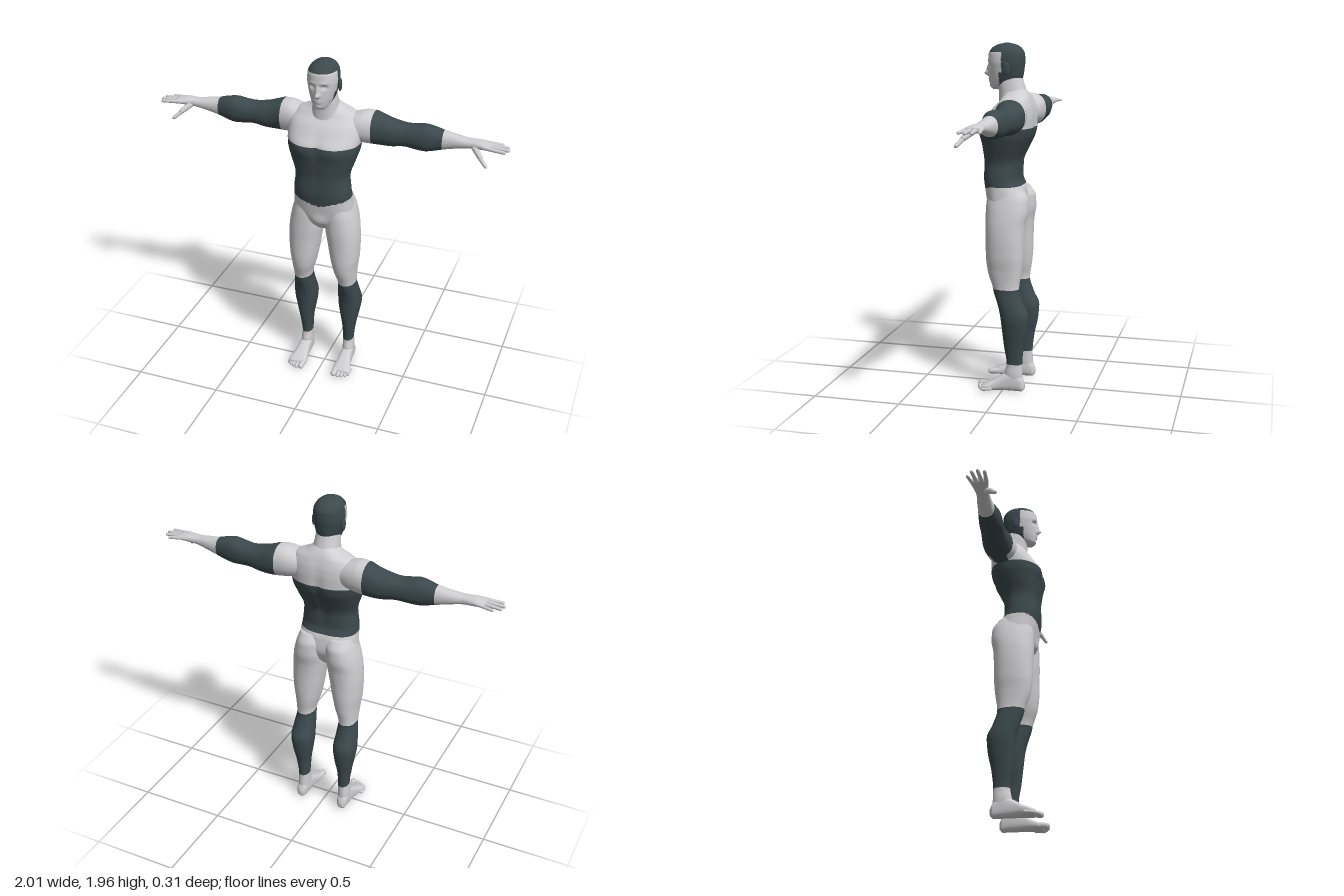
import * as THREE from 'three';

const skin = new THREE.MeshStandardMaterial({ color: 0xcfcfd1 });
skin.name = 'pale skin';
const suit = new THREE.MeshStandardMaterial({ color: 0x3c494d });
suit.name = 'dark slate';

const AXES = { x: [0, 1, 2], y: [1, 0, 2], z: [2, 0, 1] }; // along, across u, across v

// Smooth, non-overshooting interpolation between two cross-sections
function between(S, i, f) {
  const slope = (a, k) => (S[a + 1][k] - S[a][k]) / (S[a + 1][0] - S[a][0]);
  const tangent = (a, k) => {
    if (a === 0) return slope(0, k);
    if (a === S.length - 1) return slope(a - 1, k);
    const p = slope(a - 1, k), q = slope(a, k);
    return p * q <= 0 ? 0 : (2 * p * q) / (p + q);
  };
  const h = S[i + 1][0] - S[i][0];
  return S[i].map((v, k) => {
    if (k === 0) return v + h * f;
    const g = 1 - f;
    return v * (1 + 2 * f) * g * g + S[i + 1][k] * f * f * (3 - 2 * f)
      + h * f * g * (g * tangent(i, k) - f * tangent(i + 1, k));
  });
}

// Sections are [position, uMin, uMax, vMin, vMax]; isDark sorts faces into two colours
function loft(axis, S, { steps = 6, seg = 40, power = 0.9, shape, isDark = () => false } = {}) {
  const [T, U, V] = AXES[axis], rings = [], pos = [], faces = [[], []];
  for (let i = 0; i < S.length - 1; i++)
    for (let s = 0; s < steps; s++) rings.push(between(S, i, s / steps));
  rings.push(S[S.length - 1]);
  const round = (c) => Math.sign(c) * Math.abs(c) ** power;
  const add = (t, u, v) => {
    const p = [0, 0, 0];
    p[T] = t; p[U] = u; p[V] = v;
    if (shape) p[2] += shape(...p);
    pos.push(...p);
  };
  for (const [t, u0, u1, v0, v1] of rings)
    for (let j = 0; j < seg; j++) {
      const a = (j / seg) * Math.PI * 2;
      add(t, (u0 + u1) / 2 + ((u1 - u0) / 2) * round(Math.cos(a)),
        (v0 + v1) / 2 + ((v1 - v0) / 2) * round(Math.sin(a)));
    }
  const n = rings.length * seg;
  for (const r of [rings[0], rings[rings.length - 1]]) add(r[0], (r[1] + r[2]) / 2, (r[3] + r[4]) / 2);
  const tri = (a, b, c) => {
    const mid = [0, 1, 2].map((k) => (pos[a * 3 + k] + pos[b * 3 + k] + pos[c * 3 + k]) / 3);
    faces[isDark(...mid) ? 1 : 0].push(...(axis === 'y' ? [a, c, b] : [a, b, c]));
  };
  for (let j = 0; j < seg; j++) {
    const k = (j + 1) % seg;
    for (let i = 0; i < rings.length - 1; i++) {
      const a = i * seg + j, b = i * seg + k;
      tri(a, b, a + seg);
      tri(b, b + seg, a + seg);
    }
    tri(n, k, j);
    tri(n + 1, n - seg + j, n - seg + k);
  }
  const g = new THREE.BufferGeometry();
  g.setAttribute('position', new THREE.Float32BufferAttribute(pos, 3));
  g.setIndex([...faces[0], ...faces[1]]);
  g.addGroup(0, faces[0].length, 0);
  g.addGroup(faces[0].length, faces[1].length, 1);
  g.computeVertexNormals();
  return g;
}

// Tapered rounded digit between two points
function digit(from, to, r, taper = 0.2) {
  const a = new THREE.Vector3(...from), b = new THREE.Vector3(...to), d = b.clone().sub(a), len = d.length();
  const g = new THREE.CapsuleGeometry(r, len - r, 6, 14, 4), p = g.attributes.position;
  for (let i = 0; i < p.count; i++) {
    const k = 1 - taper * (p.getY(i) / len + 0.5);
    p.setX(i, p.getX(i) * k);
    p.setZ(i, p.getZ(i) * k);
  }
  g.applyQuaternion(new THREE.Quaternion().setFromUnitVectors(new THREE.Vector3(0, 1, 0), d.normalize()));
  return g.translate(...a.add(b).multiplyScalar(0.5).toArray());
}

function ball(x, y, z, sx, sy, sz) {
  return new THREE.SphereGeometry(1, 24, 16).scale(sx, sy, sz).translate(x, y, z);
}

function mirrored(g) {
  const m = g.clone().scale(-1, 1, 1), ix = m.index.array;
  for (let i = 0; i < ix.length; i += 3) [ix[i], ix[i + 1]] = [ix[i + 1], ix[i]];
  return m;
}

const bump = (x, y, cx, cy, sx, sy) => Math.exp(-(((x - cx) / sx) ** 2) - ((y - cy) / sy) ** 2);

export function createModel() {
  const model = new THREE.Group();
  model.name = 'figure';
  const put = (name, g, mat = [skin, suit]) => {
    const m = new THREE.Mesh(g, mat);
    m.name = name;
    model.add(m);
  };
  const pair = (name, g, mat) => {
    put(name + 'Left', g, mat);
    put(name + 'Right', mirrored(g), mat);
  };
  const even = (rows) => rows.map(([y, w, b, f]) => [y, -w, w, b, f]);

  // Torso with chest, spine groove and a dark band dipping at the front waist
  put('torso', loft('y', even([
    [0.97, 0.04, -0.05, 0.06], [1.02, 0.14, -0.09, 0.092], [1.08, 0.172, -0.108, 0.11],
    [1.15, 0.167, -0.1, 0.122], [1.22, 0.161, -0.075, 0.13], [1.3, 0.153, -0.078, 0.128],
    [1.4, 0.181, -0.118, 0.138], [1.46, 0.199, -0.145, 0.143], [1.5, 0.204, -0.152, 0.138],
    [1.55, 0.207, -0.152, 0.112], [1.6, 0.2, -0.147, 0.08], [1.65, 0.165, -0.132, 0.035],
    [1.68, 0.1, -0.118, 0.02], [1.71, 0.055, -0.095, 0.01],
  ]), {
    steps: 8, seg: 72, power: 0.82,
    shape: (x, y, z) => z > 0
      ? 0.012 * bump(Math.abs(x), y, 0.09, 1.48, 0.07, 0.05) - 0.008 * bump(x, y, 0, 1.5, 0.015, 0.07)
        + 0.016 * bump(x, y, 0, 1.03, 0.045, 0.04) - 0.004 * bump(x, y, 0, 1.32, 0.012, 0.08)
      : 0.014 * bump(x, y, 0, 1.42, 0.022, 0.18),
    isDark: (x, y, z) => y < 1.5 && y > 1.175 - (z > 0 ? 0.04 * Math.max(0, 1 - Math.abs(x) / 0.16) : 0),
  }));

  put('neck', loft('y', even([
    [1.58, 0.1, -0.135, 0.06], [1.64, 0.084, -0.128, 0.052], [1.68, 0.074, -0.108, 0.052],
    [1.73, 0.067, -0.09, 0.058], [1.78, 0.06, -0.075, 0.06],
  ])), skin);

  // Head: modelled face and dark cap
  put('head', loft('y', even([
    [1.706, 0.022, 0.045, 0.088], [1.72, 0.041, 0, 0.1], [1.745, 0.058, -0.068, 0.107],
    [1.78, 0.07, -0.082, 0.11], [1.82, 0.079, -0.088, 0.111], [1.86, 0.084, -0.092, 0.114],
    [1.9, 0.081, -0.09, 0.112], [1.93, 0.067, -0.074, 0.094], [1.95, 0.042, -0.045, 0.062],
    [1.96, 0.01, -0.005, 0.02],
  ]), {
    steps: 8, seg: 96, power: 0.92,
    shape: (x, y, z) => z < 0.03 ? 0
      : 0.026 * bump(x, y, 0, 1.792, 0.012, 0.013) + 0.015 * bump(x, y, 0, 1.82, 0.009, 0.022)
        - 0.013 * bump(Math.abs(x), y, 0.033, 1.838, 0.016, 0.012)
        + 0.004 * bump(Math.abs(x), y, 0.03, 1.86, 0.02, 0.007)
        + 0.006 * bump(x, y, 0, 1.763, 0.02, 0.005) + 0.006 * bump(x, y, 0, 1.751, 0.017, 0.005)
        + 0.005 * bump(x, y, 0, 1.722, 0.02, 0.012),
    isDark: (x, y, z) => y > 1.91 || (y > 1.72 && z < (y > 1.8 ? 0.022 : 0.04)),
  }));
  pair('eye', ball(0.033, 1.838, 0.082, 0.012, 0.006, 0.011), skin);
  pair('ear', ball(0.086, 1.822, -0.002, 0.009, 0.036, 0.02).rotateY(0.04), suit);

  // Arms, from shoulder to palm
  pair('arm', loft('x', [
    [0.1, 1.51, 1.64, -0.125, 0.02], [0.18, 1.495, 1.662, -0.148, 0.025], [0.22, 1.49, 1.67, -0.154, 0.02],
    [0.26, 1.487, 1.668, -0.156, 0.012], [0.31, 1.485, 1.652, -0.153, 0.002], [0.36, 1.487, 1.637, -0.146, 0],
    [0.44, 1.499, 1.625, -0.136, -0.005], [0.5, 1.494, 1.632, -0.131, 0], [0.545, 1.491, 1.64, -0.126, 0],
    [0.6, 1.501, 1.632, -0.117, -0.01], [0.645, 1.514, 1.62, -0.11, -0.02], [0.72, 1.534, 1.608, -0.1, -0.023],
    [0.79, 1.549, 1.6, -0.09, -0.023], [0.84, 1.554, 1.6, -0.095, -0.015], [0.88, 1.56, 1.594, -0.1, -0.006],
    [0.905, 1.565, 1.589, -0.1, -0.006],
  ], { isDark: (x, y) => (x > 0.26 && x < 0.645) || (x < 0.26 && y < 1.5) }));

  // Hand: four spread fingers and a lowered thumb
  [[-0.091, 0.955, -0.103, 0.0095], [-0.066, 0.99, -0.073, 0.011],
    [-0.04, 0.997, -0.04, 0.0115], [-0.016, 0.982, -0.006, 0.011]].forEach(([z0, x1, z1, r], i) =>
    pair('finger' + (i + 1), digit([0.88, 1.577, z0], [x1, 1.571, z1], r), skin));
  pair('thumbBase', digit([0.815, 1.566, -0.035], [0.862, 1.528, 0.01], 0.018), skin);
  pair('thumb', digit([0.85, 1.536, 0.002], [0.897, 1.495, 0.034], 0.0125), skin);

  // Legs, including buttocks, knees and calves
  pair('leg', loft('y', [
    [0.03, 0.108, 0.16, -0.115, -0.02], [0.1, 0.1, 0.167, -0.113, -0.012], [0.16, 0.101, 0.162, -0.112, -0.022],
    [0.26, 0.096, 0.173, -0.122, -0.008], [0.36, 0.079, 0.193, -0.142, 0.003], [0.44, 0.07, 0.205, -0.148, 0.012],
    [0.52, 0.076, 0.197, -0.115, 0.03], [0.6, 0.083, 0.186, -0.093, 0.053], [0.7, 0.058, 0.193, -0.107, 0.088],
    [0.78, 0.041, 0.204, -0.114, 0.098], [0.88, 0.024, 0.208, -0.117, 0.101], [0.96, 0.011, 0.204, -0.122, 0.104],
    [1.04, 0.004, 0.191, -0.136, 0.104], [1.1, 0.004, 0.175, -0.134, 0.1], [1.16, 0.015, 0.155, -0.1, 0.09],
  ], {
    shape: (x, y, z) => z > 0 ? 0.006 * bump(x, y, 0.135, 0.57, 0.03, 0.04) : 0,
    isDark: (x, y) => y > 0.16 && y < 0.6,
  }));

  // Feet and toes
  pair('foot', loft('z', [
    [-0.127, 0.122, 0.148, 0.015, 0.05], [-0.11, 0.107, 0.162, 0, 0.085], [-0.06, 0.1, 0.167, 0, 0.118],
    [0, 0.097, 0.172, 0, 0.093], [0.05, 0.091, 0.183, 0, 0.063], [0.09, 0.087, 0.194, 0, 0.044],
    [0.115, 0.09, 0.19, 0.002, 0.032],
  ], { power: 0.75 }), skin);
  [[0.105, 0.153, 0.0175], [0.132, 0.15, 0.0125], [0.153, 0.143, 0.012],
    [0.172, 0.132, 0.011], [0.188, 0.118, 0.01]].forEach(([x, z, r], i) =>
    pair('toe' + (i + 1), digit([x, r + 0.006, z - 0.06], [x, r, z - r / 2], r, 0.05), skin));

  return model;
}
